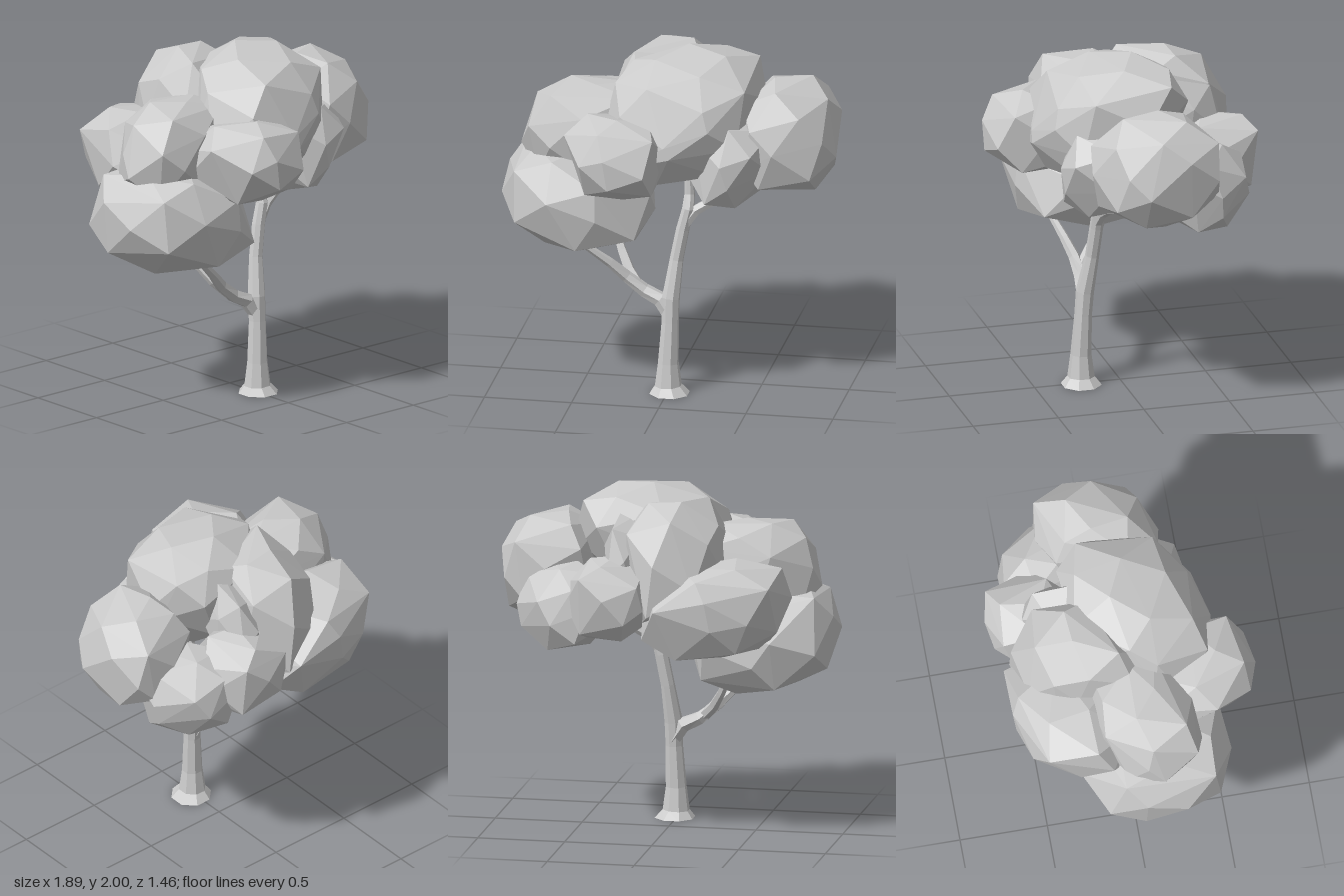
import * as THREE from 'three';
import { ConvexGeometry } from 'three/addons/geometries/ConvexGeometry.js';

const material = new THREE.MeshStandardMaterial({ color: 0xcccccc, flatShading: true });

function seeded(seed) {
  let s = seed * 7919 + 17;
  return () => (s = (s * 16807) % 2147483647) / 2147483647;
}

// Faceted leaf clump: hull of jittered points on a boxy ball, leaned and fitted to a box.
// lean = [x per y, z per y, z per x]; a larger power gives a boxier ball
function clump(name, min, max, count, seed, power, lean) {
  const rand = seeded(seed);
  for (let i = 0; i < 5; i++) rand();
  const points = [];
  const turn = rand() * 6.28;
  for (let i = 0; i < count; i++) {
    const y = 1 - (2 * (i + 0.5)) / count;
    const a = turn + i * 2.39996 + (rand() - 0.5) * 0.6;
    const r = Math.sqrt(1 - y * y);
    const p = new THREE.Vector3(r * Math.cos(a), y + (rand() - 0.5) * 0.14, r * Math.sin(a));
    const sum = Math.abs(p.x) ** power + Math.abs(p.y) ** power + Math.abs(p.z) ** power;
    p.multiplyScalar(sum ** (-1 / power) * (0.96 + 0.06 * rand()));
    p.z += lean[1] * p.y + lean[2] * p.x;
    p.x += lean[0] * p.y;
    points.push(p);
  }
  const box = new THREE.Box3().setFromPoints(points);
  const size = box.getSize(new THREE.Vector3());
  const lo = new THREE.Vector3(...min);
  const span = new THREE.Vector3(...max).sub(lo);
  points.forEach((p) => p.sub(box.min).divide(size).multiply(span).add(lo));
  const mesh = new THREE.Mesh(new ConvexGeometry(points), material);
  mesh.name = name;
  return mesh;
}

// Tapered faceted limb through stations [x, y, z, radius], closed at both ends
function limb(name, stations, sides) {
  const centres = stations.map(([x, y, z]) => new THREE.Vector3(x, y, z));
  const up = new THREE.Vector3(0, 1, 0);
  const last = centres.length - 1;
  const rings = centres.map((c, i) => {
    const dir = centres[Math.min(i + 1, last)].clone().sub(centres[Math.max(i - 1, 0)]).normalize();
    if (c.y === 0) dir.copy(up);
    const q = new THREE.Quaternion().setFromUnitVectors(up, dir);
    return Array.from({ length: sides }, (_, j) => {
      const a = ((j + 0.5) / sides) * Math.PI * 2;
      return new THREE.Vector3(Math.cos(a), 0, Math.sin(a))
        .multiplyScalar(stations[i][3]).applyQuaternion(q).add(c);
    });
  });
  const corners = [];
  for (let j = 0; j < sides; j++) {
    const k = (j + 1) % sides;
    for (let i = 0; i < last; i++) {
      const a = rings[i][j], b = rings[i][k], c = rings[i + 1][k], d = rings[i + 1][j];
      corners.push(a, d, c, a, c, b);
    }
    corners.push(centres[0], rings[0][j], rings[0][k]);
    corners.push(centres[last], rings[last][k], rings[last][j]);
  }
  const geometry = new THREE.BufferGeometry().setFromPoints(corners);
  geometry.computeVertexNormals();
  const mesh = new THREE.Mesh(geometry, material);
  mesh.name = name;
  return mesh;
}

export function createModel() {
  const tree = new THREE.Group();
  tree.name = 'tree';

  // Trunk with root flare, and its branches
  const wood = new THREE.Group();
  wood.name = 'wood';
  wood.add(
    limb('trunk', [
      [0.012, 0, 0.23, 0.117], [0.005, 0.045, 0.23, 0.078], [0.005, 0.18, 0.23, 0.06],
      [0.014, 0.42, 0.22, 0.05], [0.016, 0.56, 0.21, 0.052], [0.042, 0.78, 0.175, 0.04],
      [0.075, 0.96, 0.16, 0.039], [0.105, 1.08, 0.155, 0.036], [0.108, 1.16, 0.125, 0.03],
      [0.1, 1.31, 0.12, 0.024],
    ], 8),
    limb('lowerBranch', [
      [0.02, 0.45, 0.215, 0.045], [-0.045, 0.545, 0.2, 0.046], [-0.14, 0.59, 0.19, 0.04],
      [-0.24, 0.67, 0.2, 0.034], [-0.33, 0.76, 0.235, 0.027], [-0.45, 0.86, 0.28, 0.02],
    ], 6),
    limb('lowerTwig', [
      [-0.17, 0.61, 0.19, 0.034], [-0.235, 0.68, 0.13, 0.031], [-0.29, 0.77, 0.06, 0.026],
      [-0.345, 0.88, -0.01, 0.018],
    ], 6),
    limb('upperBranch', [
      [0.085, 0.99, 0.16, 0.034], [0.145, 1.07, 0.145, 0.033], [0.22, 1.115, 0.13, 0.03],
      [0.32, 1.15, 0.11, 0.024], [0.42, 1.2, 0.08, 0.018],
    ], 6),
  );
  tree.add(wood);

  // Leaf clumps: name, lowest corner, highest corner, point count, seed, power, lean
  const foliage = new THREE.Group();
  foliage.name = 'foliage';
  [
    ['crownClump', [-0.37, 1.27, -0.3], [0.53, 2.0, 0.53], 36, 1, 2.7, [0.15, -0.25, -0.2]],
    ['rearCrownClump', [-0.38, 1.2, -0.63], [0.16, 1.95, 0.1], 26, 2, 3.2, [0.1, 0.1, -0.3]],
    ['rearTopClump', [0.08, 1.4, -0.53], [0.3, 1.86, -0.12], 16, 11, 3, [0, 0.2, 0]],
    ['sideClump', [0.38, 1.18, -0.37], [0.94, 1.82, 0.33], 28, 3, 2.7, [-0.05, -0.1, -0.15]],
    ['frontSideClump', [0.12, 1.14, -0.05], [0.59, 1.68, 0.44], 22, 4, 3, [0.15, 0, -0.1]],
    ['rearSideClump', [0.28, 1.08, -0.6], [0.8, 1.58, -0.04], 24, 5, 2.8, [0, 0.1, 0.15]],
    ['rearClump', [0.03, 1.17, -0.73], [0.49, 1.65, -0.2], 22, 6, 3, [0, -0.1, 0]],
    ['rearOuterClump', [-0.74, 1.08, -0.67], [0.06, 1.63, -0.03], 28, 7, 3, [-0.15, 0, -0.25]],
    ['outerClump', [-0.86, 1.25, -0.23], [-0.18, 1.78, 0.36], 28, 8, 3, [0.15, 0, -0.25]],
    ['frontClump', [-0.55, 1.24, 0.1], [0.02, 1.71, 0.73], 22, 9, 3, [-0.05, 0, 0.1]],
    ['lowClump', [-0.95, 0.81, -0.33], [-0.09, 1.42, 0.53], 30, 10, 3.2, [-0.08, 0.05, 0]],
  ].forEach((spec) => foliage.add(clump(...spec)));
  tree.add(foliage);

  return tree;
}
